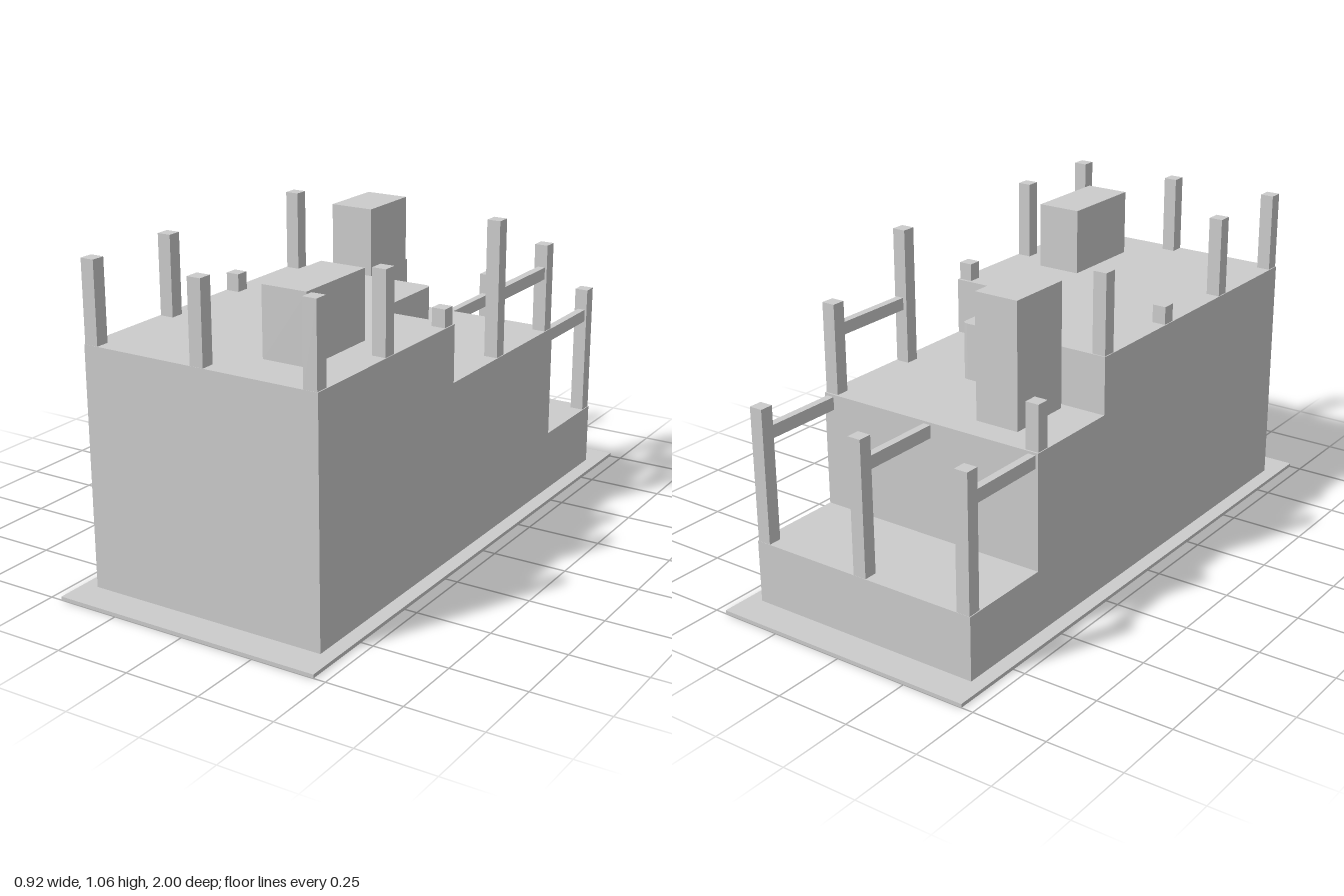
import * as THREE from 'three';

const BASE = 0.012, LOW = 0.222, MID = 0.606, HIGH = 0.796;
const HALF_W = 0.411, HALF_L = 0.89;
const LOW_EDGE = -0.557; // where the low step meets the middle floor
const POST = 0.046;

export function createModel() {
  const model = new THREE.Group();
  const material = new THREE.MeshStandardMaterial({ color: 0xcccccc, flatShading: true });

  // Box given by its limits along each axis
  function block(name, x0, x1, y0, y1, z0, z1) {
    const mesh = new THREE.Mesh(new THREE.BoxGeometry(x1 - x0, y1 - y0, z1 - z0), material);
    mesh.name = name;
    mesh.position.set((x0 + x1) / 2, (y0 + y1) / 2, (z0 + z1) / 2);
    model.add(mesh);
  }
  function post(x, z, floor, top) {
    const h = POST / 2;
    block('post', x - h, x + h, floor, top, z - h, z + h);
  }

  // Ground plate and the two lower floors
  block('basePlate', -0.46, 0.46, 0, BASE, -1, 1);
  block('lowStep', -HALF_W, HALF_W, BASE, LOW, -HALF_L, LOW_EDGE);

  // Plan drawn in (x, -z), extruded upwards
  function slab(name, plan, y0, y1) {
    const geometry = new THREE.ExtrudeGeometry(plan, { depth: y1 - y0, bevelEnabled: false, curveSegments: 3 });
    geometry.rotateX(-Math.PI / 2);
    const mesh = new THREE.Mesh(geometry, material);
    mesh.name = name;
    mesh.position.y = y0;
    model.add(mesh);
  }

  // Middle floor, full width
  const middle = new THREE.Shape();
  middle.moveTo(-HALF_W, -HALF_L);
  middle.lineTo(HALF_W, -HALF_L);
  middle.lineTo(HALF_W, -LOW_EDGE);
  middle.lineTo(-HALF_W, -LOW_EDGE);
  middle.closePath();
  slab('middleFloor', middle, BASE, MID);

  // Upper floor: L-shaped, with a softened corner
  const upper = new THREE.Shape();
  upper.moveTo(-HALF_W, -HALF_L);
  upper.lineTo(HALF_W, -HALF_L);
  upper.lineTo(HALF_W, -0.134);
  upper.lineTo(0.132, -0.134);
  upper.lineTo(0.132, 0.187);
  upper.quadraticCurveTo(0.132, 0.207, 0.112, 0.207);
  upper.lineTo(-HALF_W, 0.207);
  upper.closePath();
  slab('upperFloor', upper, MID, HIGH);

  // Posts along both sides: z, [floor, top] on the right (-x) and left (+x)
  const sidePosts = [
    [-0.866, [LOW, 0.67], [LOW, 0.67]],
    [-0.528, [MID, 0.756], [MID, 0.905]],
    [-0.18, [HIGH, 1.058], [MID, 1.058]],
    [0.167, [HIGH, 0.855], [HIGH, 0.855]],
    [0.512, [HIGH, 1.058], [HIGH, 1.058]],
    [0.866, [HIGH, 1.058], [HIGH, 1.058]],
  ];
  for (const [z, right, left] of sidePosts) {
    post(-0.385, z, ...right);
    post(0.385, z, ...left);
  }
  // Middle posts at both ends
  post(0, -0.866, LOW, 0.67);
  post(0, 0.866, HIGH, 1.058);

  // Rails from the rear posts to the wall, and one on the middle floor
  for (const x of [-0.388, 0, 0.388]) {
    block('lowRail', x - 0.013, x + 0.013, 0.555, 0.598, -0.845, LOW_EDGE);
  }
  block('upperRail', 0.375, 0.401, 0.788, 0.829, -0.507, -0.2);

  // Roof cabinets
  block('rearCabinet', -0.27, -0.117, MID, 1.018, -0.463, -0.233);
  block('frontCabinet', 0.115, 0.268, HIGH, 1.018, 0.423, 0.728);

  return model;
}
